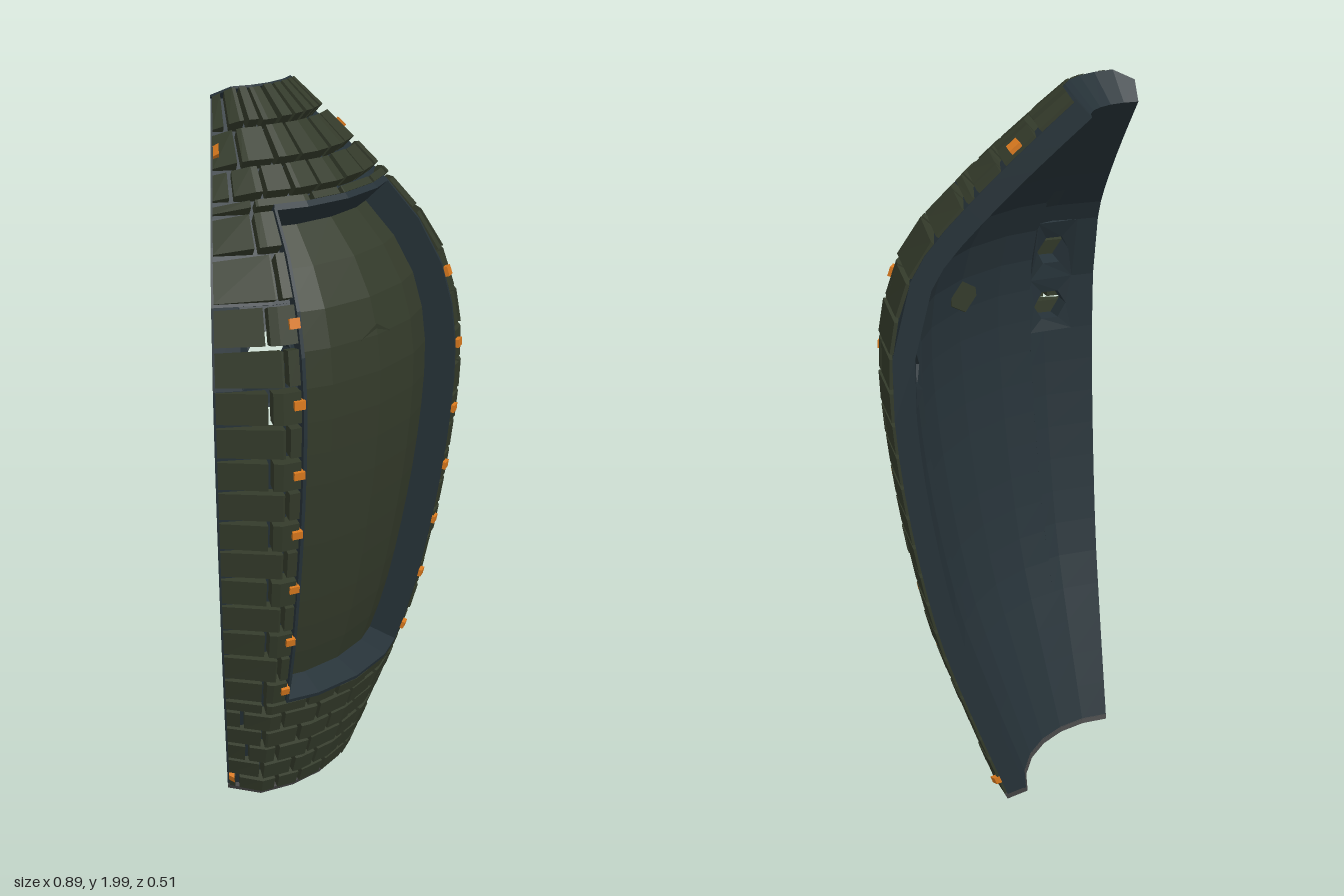
import * as THREE from 'three';
import { mergeGeometries } from 'three/addons/utils/BufferGeometryUtils.js';

const DEG = Math.PI / 180;
const EDGE = 44.4;          // half angle of the curved panel, degrees
const WIN = 25.3;           // half angle of the recessed window
const BASE = 0.055;         // thickness of the backing shell
const FULL = 0.095;         // thickness including bricks
const T0 = 0.036, W0 = 0.43, W1 = 1.69, T1 = 1.925;
const AXIS_Z = -0.36;

// inner profile: height, radius
const PROFILE = [[0.03, 0.297], [0.334, 0.405], [0.57, 0.48], [0.865, 0.538], [1.13, 0.571],
  [1.34, 0.577], [1.475, 0.552], [1.58, 0.503], [1.69, 0.405], [1.81, 0.28], [1.93, 0.145]];

// smooth radius through the profile points
function radius(y) {
  const P = PROFILE, n = P.length;
  let i = 0;
  while (i < n - 2 && y > P[i + 1][0]) i++;
  const slope = k => {
    const a = P[Math.max(k - 1, 0)], b = P[Math.min(k + 1, n - 1)];
    return (b[1] - a[1]) / (b[0] - a[0]);
  };
  const h = P[i + 1][0] - P[i][0], u = (y - P[i][0]) / h, v = 1 - u;
  return P[i][1] * (1 + 2 * u) * v * v + slope(i) * h * u * v * v
    + P[i + 1][1] * u * u * (3 - 2 * u) - slope(i + 1) * h * u * u * v;
}

// angle (degrees), height on the inner skin and depth outwards -> position
function place(a, t, d) {
  const s = (radius(t + 0.01) - radius(t - 0.01)) / 0.02, len = Math.hypot(1, s);
  const taper = 1 - 0.88 * Math.max(0, (Math.abs(a) - 30) / 15);
  if (d > BASE) d = BASE + (d - BASE) * taper;
  const facet = Math.abs(a) % 15 - 7.5;
  const r = (radius(t) + d / len) * Math.cos(7.5 * DEG) / Math.cos(facet * DEG);
  return [r * Math.sin(a * DEG), t - d * s / len, AXIS_Z + r * Math.cos(a * DEG)];
}

function bend(geo) {
  const g = geo.index ? geo.toNonIndexed() : geo, p = g.attributes.position;
  for (let i = 0; i < p.count; i++) p.setXYZ(i, ...place(p.getX(i), p.getY(i), p.getZ(i)));
  g.computeVertexNormals();
  return g;
}

// curved block, split where the 15 degree facets meet
function slab(a0, a1, t0, t1, d0, d1, steps = 1) {
  const cuts = [a0];
  for (let a = -45; a <= 45; a += 15) if (a > a0 + 0.01 && a < a1 - 0.01) cuts.push(a);
  cuts.push(a1);
  const out = [];
  for (let i = 0; i + 1 < cuts.length; i++) {
    const w = cuts[i + 1] - cuts[i];
    const g = new THREE.BoxGeometry(w, t1 - t0, d1 - d0, 1, steps, 1);
    g.translate(cuts[i] + w / 2, (t0 + t1) / 2, (d0 + d1) / 2);
    out.push(bend(g));
  }
  return out;
}

// block of shell pierced by a six-sided hole
function pierced(a0, a1, t0, t1, a, t) {
  const s = new THREE.Shape([[a0, t0], [a1, t0], [a1, t1], [a0, t1]].map(p => new THREE.Vector2(...p)));
  const hole = [];
  for (let i = 0; i < 6; i++) {
    const q = i * Math.PI / 3;
    hole.push(new THREE.Vector2(a + 4.8 * Math.cos(q), t + 0.045 * Math.sin(q)));
  }
  s.holes.push(new THREE.Path(hole));
  return bend(new THREE.ExtrudeGeometry(s, { depth: BASE, bevelEnabled: false }));
}

export function createModel() {
  const model = new THREE.Group();
  const material = (name, color) => {
    const m = new THREE.MeshStandardMaterial({ color, flatShading: true });
    m.name = name;
    return m;
  };
  const olive = material('dark olive', 0x333a2a);
  const slate = material('dark slate', 0x263238);
  const grey = material('dark grey', 0x434343);
  const orange = material('orange', 0xd9791e);
  const add = (name, parts, mat) => {
    const mesh = new THREE.Mesh(mergeGeometries(parts.map(g => {
      const n = new THREE.BufferGeometry();
      n.setAttribute('position', g.attributes.position);
      n.setAttribute('normal', g.attributes.normal);
      return n;
    })), mat);
    mesh.name = name;
    model.add(mesh);
  };
  let seed = 7;
  const rand = () => (seed = (seed * 16807) % 2147483647) / 2147483647;

  // backing shell, with two holes each side of the window
  const shell = [
    ...slab(-EDGE, EDGE, T0 + 0.012, W0, 0, BASE, 4),
    ...slab(-EDGE, EDGE, W1, T1, 0, BASE, 4),
    ...slab(-WIN, WIN, W0, W1, 0, 0.006, 14),
  ];
  for (const s of [-1, 1]) {
    const side = (a, b, t0, t1, n) => shell.push(...slab(Math.min(s * a, s * b), Math.max(s * a, s * b), t0, t1, 0, BASE, n));
    side(WIN, EDGE, W0, 1.2, 8);
    side(WIN, EDGE, 1.53, W1, 3);
    side(38, EDGE, 1.2, 1.355, 1);
    side(38, EDGE, 1.355, 1.53, 1);
    const a0 = s > 0 ? WIN : -38, a1 = s > 0 ? 38 : -WIN;
    shell.push(pierced(a0, a1, 1.2, 1.355, s * 31.6, 1.275), pierced(a0, a1, 1.355, 1.53, s * 31.6, 1.44));
  }
  add('backingShell', shell, slate);

  // recessed window panel and the hexagonal plate behind it
  add('windowPanel', slab(-WIN, WIN, W0, W1, 0.006, 0.014, 14), olive);
  const hex = new THREE.CylinderGeometry(0.062, 0.062, 0.006, 6);
  hex.rotateX(Math.PI / 2);
  const hexMesh = new THREE.Mesh(hex, olive);
  hexMesh.name = 'rearPlate';
  hexMesh.position.set(0, 1.39, AXIS_Z + radius(1.39) - 0.004);
  hexMesh.rotation.x = 0.1;
  model.add(hexMesh);

  // window frame
  add('windowFrame', [
    ...slab(-WIN - 0.3, -WIN + 0.5, W0, W1, 0, FULL, 14),
    ...slab(WIN - 0.5, WIN + 0.3, W0, W1, 0, FULL, 14),
    ...slab(-WIN, WIN, W0 - 0.006, W0 + 0.006, 0, FULL),
    ...slab(-WIN, WIN, W1 - 0.006, W1 + 0.006, 0, FULL),
  ], slate);

  // end caps
  add('bottomCap', slab(-EDGE, EDGE, T0, T0 + 0.014, 0, FULL - 0.005), grey);
  add('topCap', slab(-EDGE, EDGE, T1 - 0.003, T1 + 0.002, 0, FULL - 0.004), slate);

  // bricks
  const bricks = [];
  const brick = (a0, a1, t0, t1) => {
    const gapA = 0.006 / (radius((t0 + t1) / 2) + 0.08) / DEG;
    bricks.push(...slab(a0 + gapA, a1 - gapA, t0 + 0.006, t1 - 0.006, BASE - 0.002, FULL - 0.003 + rand() * 0.005));
  };
  const course = (t0, t1, n, shift) => {
    const w = 2 * EDGE / n, seams = [-EDGE];
    for (let i = 1; i <= n; i++) {
      const a = -EDGE + (i - (shift ? 0.5 : 0)) * w + (rand() - 0.5) * w * 0.3;
      if (a < EDGE - 2) seams.push(a);
    }
    seams.push(EDGE);
    for (let i = 0; i + 1 < seams.length; i++) brick(seams[i], seams[i + 1], t0, t1);
  };
  [0.046, 0.105, 0.175, 0.245, 0.315, 0.385, W0].forEach((t, i, all) => {
    if (i) course(all[i - 1], t, 7, i % 2);
  });
  [[W1, 1.715, 6], [1.715, 1.775, 8], [1.775, 1.85, 7], [1.85, T1 + 0.003, 10]]
    .forEach(([a, b, n], i) => course(a, b, n, i === 1));
  for (let i = 0; i < 15; i++) {
    const t0 = i ? 0.425 + i * 0.085 : W0, t1 = Math.min(0.425 + (i + 1) * 0.085, W1);
    const split = i % 2 ? 29 : 32.5;
    for (const [a, b] of [[WIN + 0.2, split], [split, EDGE]]) {
      brick(a, b, t0, t1);
      brick(-b, -a, t0, t1);
    }
  }
  add('bricks', bricks, olive);

  // small lugs beside the window and near the corners
  const lugs = [];
  const lug = (a, t, d) => {
    for (const s of [-1, 1]) lugs.push(...slab(s * a - 1.2, s * a + 1.2, t - 0.01, t + 0.01, BASE, d));
  };
  [0.48, 0.65, 0.82, 0.985, 1.15, 1.325, 1.49].forEach(t => lug(26.6, t, 0.104));
  lug(42.5, 0.1, 0.14);
  lug(42, 1.81, 0.14);
  add('lugs', lugs, orange);

  return model;
}
